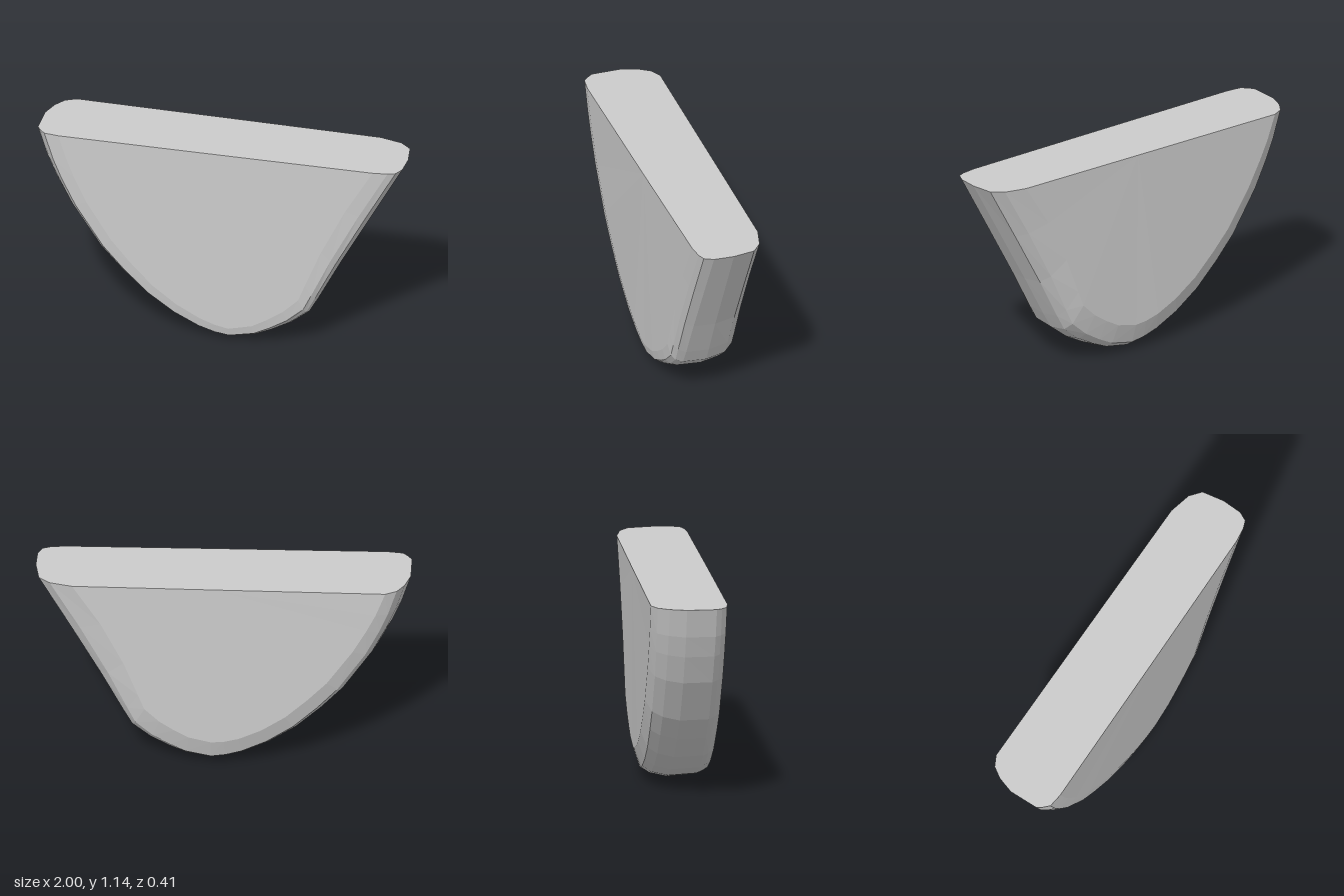
import * as THREE from 'three';

const TOP = 1.14;

// Outline of the body, from the top right corner round the bottom to the top left
const outline = [
  [-1, 1.14], [-0.95, 0.98], [-0.9, 0.86], [-0.82, 0.7], [-0.66, 0.46], [-0.54, 0.33], [-0.4, 0.2],
  [-0.25, 0.1], [-0.11, 0.035], [-0.02, 0.01], [0.06, 0], [0.2, 0.025], [0.29, 0.065], [0.39, 0.12],
  [0.49, 0.2], [0.54, 0.29], [0.66, 0.52], [0.83, 0.83], [1, 1.14],
];

// Rounded rim sections, front to back: [inset, z]
const rimStart = [[0.13, 0.2], [0.05, 0.19], [0.02, 0.16], [0, 0.13], [0, -0.03], [0.03, -0.12], [0.07, -0.18], [0.13, -0.21]];
const rimBottom = [[0.08, 0.19], [0.035, 0.18], [0.02, 0.15], [0.01, 0.12], [0, -0.03], [0.02, -0.12], [0.05, -0.165], [0.16, -0.2]];
const rimEnd = [[0.15, 0.185], [0.07, 0.175], [0.03, 0.16], [0.005, 0.11], [0, 0], [0.02, -0.12], [0.08, -0.17], [0.2, -0.2]];

function rimAt(i, j) {
  const mid = 10, last = outline.length - 1;
  const [a, b, t] = i < mid ? [rimStart, rimBottom, i / mid] : [rimBottom, rimEnd, (i - mid) / (last - mid)];
  return [0, 1].map((k) => THREE.MathUtils.lerp(a[j][k], b[j][k], t));
}

function buildBody() {
  const front = new THREE.Vector3(0.05, TOP, 0.193);
  const back = new THREE.Vector3(0.05, TOP, -0.205);
  const last = outline.length - 1, rimLast = rimStart.length - 1;

  // Each rim section is inset towards the middle of the top edge
  const rings = outline.map(([x, y], i) => rimStart.map((_, j) => {
    const [inset, z] = rimAt(i, j);
    const inward = new THREE.Vector2(front.x - x, TOP - y).setLength(inset);
    return new THREE.Vector3(x + inward.x, y + inward.y, z);
  }));

  const positions = [];
  const tri = (...points) => points.forEach((p) => positions.push(p.x, p.y, p.z));

  for (let i = 0; i < last; i++) {
    const p = rings[i], q = rings[i + 1];
    // Rounded rim
    for (let j = 0; j < rimLast; j++) {
      tri(p[j], p[j + 1], q[j]);
      tri(q[j], p[j + 1], q[j + 1]);
    }
    // Broad front and back faces
    tri(front, p[0], q[0]);
    tri(back, q[rimLast], p[rimLast]);
  }

  // Flat top
  const edge = [...rings[0], back, ...[...rings[last]].reverse(), front];
  const centre = new THREE.Vector3(0, TOP, 0);
  edge.forEach((p, k) => tri(centre, edge[(k + 1) % edge.length], p));

  const geometry = new THREE.BufferGeometry();
  geometry.setAttribute('position', new THREE.Float32BufferAttribute(positions, 3));
  geometry.computeVertexNormals();
  return geometry;
}

export function createModel() {
  const group = new THREE.Group();
  const material = new THREE.MeshStandardMaterial({ color: 0xcccccc, flatShading: true });
  const body = new THREE.Mesh(buildBody(), material);
  body.name = 'taperedBody';
  group.add(body);
  return group;
}
